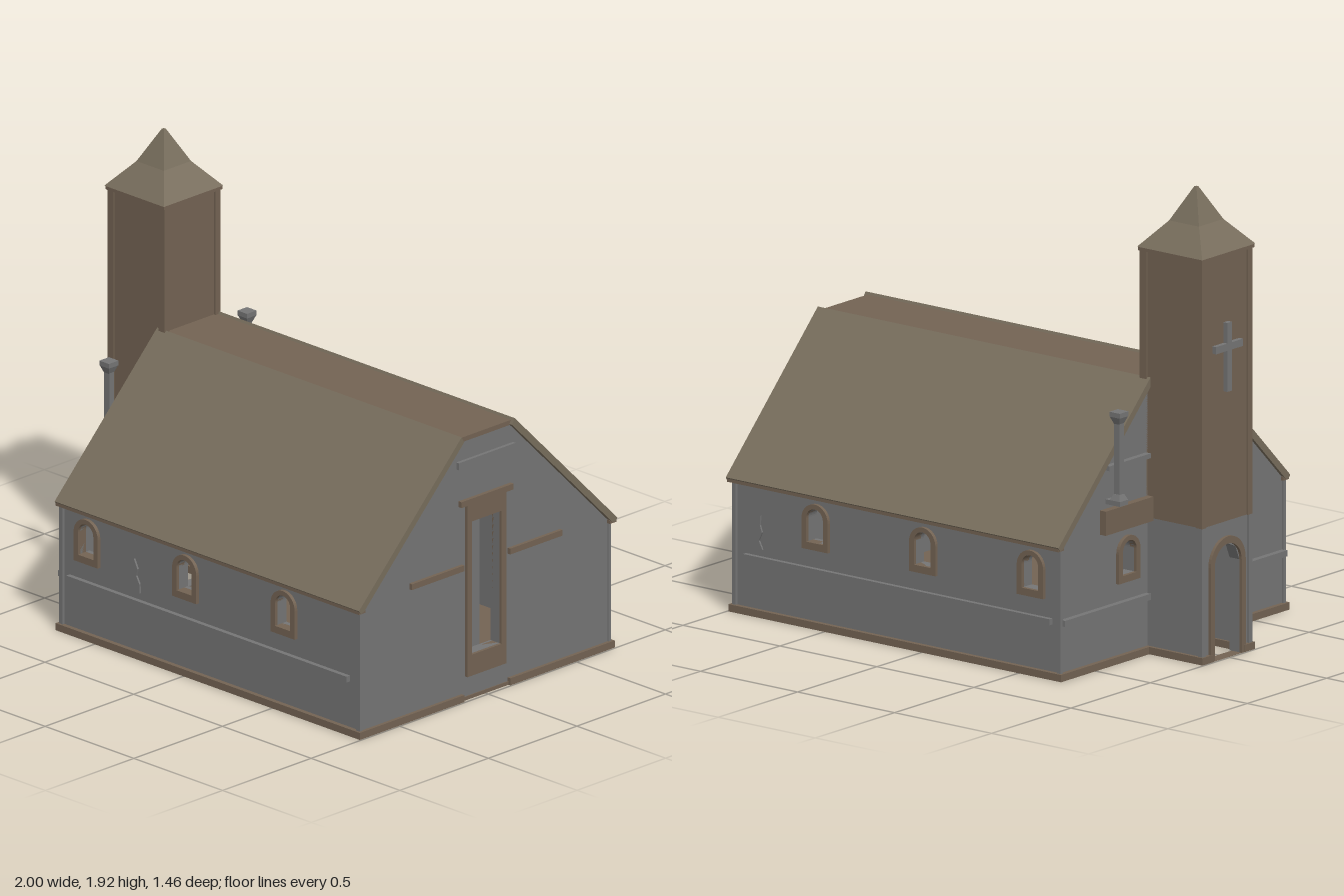
import * as THREE from 'three';

const mat = (name, color) => {
  const m = new THREE.MeshStandardMaterial({ color });
  m.name = name;
  return m;
};

export function createModel() {
  const model = new THREE.Group();
  model.name = 'chapel';
  const stone = mat('grey stone', 0x757575);
  const timber = mat('brown timber', 0x736353);
  const shingle = mat('olive brown roof', 0x776d5c);

  const add = (name, geometry, material) => {
    const mesh = new THREE.Mesh(geometry, material);
    mesh.name = name;
    model.add(mesh);
    return mesh;
  };
  // Box given by its limits on each axis
  const box = (name, m, x0, x1, y0, y1, z0, z1) => {
    const g = new THREE.BoxGeometry(x1 - x0, y1 - y0, z1 - z0);
    g.translate((x0 + x1) / 2, (y0 + y1) / 2, (z0 + z1) / 2);
    return add(name, g, m);
  };
  // Box repeated on both sides of the long axis
  const pair = (name, m, x0, x1, y0, y1, z0, z1) => {
    box(name, m, x0, x1, y0, y1, z0, z1);
    box(name, m, x0, x1, y0, y1, -z1, -z0);
  };
  const poly = (pts, Type = THREE.Shape) => new Type(pts.map(([x, y]) => new THREE.Vector2(x, y)));
  const rect = (c, hw, y0, y1, Type) => poly([[c - hw, y0], [c + hw, y0], [c + hw, y1], [c - hw, y1]], Type);
  const arch = (c, hw, y0, top, Type = THREE.Shape) => {
    const s = new Type();
    s.moveTo(c - hw, y0);
    s.lineTo(c + hw, y0);
    s.lineTo(c + hw, top - hw);
    s.absarc(c, top - hw, hw, 0, Math.PI, false);
    s.lineTo(c - hw, y0);
    return s;
  };
  // Extrusion along z, or along x when turned
  const slab = (name, m, shape, holes, from, to, alongX) => {
    shape.holes.push(...holes);
    const g = new THREE.ExtrudeGeometry(shape, { depth: to - from, bevelEnabled: false, curveSegments: 10 });
    g.translate(0, 0, from);
    if (alongX) g.rotateY(Math.PI / 2);
    return add(name, g, m);
  };
  // Four-sided tapering block
  const frustum = (name, m, x, z, y0, y1, h0, h1) => {
    const g = new THREE.CylinderGeometry(h1 * Math.SQRT2, h0 * Math.SQRT2, y1 - y0, 4).toNonIndexed();
    g.rotateY(Math.PI / 4);
    g.translate(x, (y0 + y1) / 2, z);
    g.computeVertexNormals();
    return add(name, g, m);
  };

  // Floor and base trim
  box('floor', timber, -0.71, 0.985, 0, 0.015, -0.71, 0.71);
  pair('baseTrim', timber, -0.715, 0.995, 0, 0.03, 0.69, 0.72);
  pair('eastBaseTrim', timber, 0.96, 0.995, 0, 0.03, 0.13, 0.72);
  pair('westBaseTrim', timber, -0.72, -0.69, 0, 0.03, 0.16, 0.72);

  // Long walls with arched windows, ledges and cracks
  const windowX = [-0.555, 0, 0.555];
  for (const s of [-1, 1]) {
    const z = s > 0 ? [0.65, 0.7] : [-0.7, -0.65];
    slab('sideWall', stone, rect(0.14, 0.84, 0, 0.57),
      windowX.map(x => arch(x, 0.043, 0.355, 0.495, THREE.Path)), z[0], z[1]);
    for (const x of windowX) {
      slab('windowFrame', timber, arch(x, 0.068, 0.325, 0.515),
        [arch(x, 0.043, 0.355, 0.495, THREE.Path)], s > 0 ? 0.67 : -0.715, s > 0 ? 0.715 : -0.67);
    }
    const c = s > 0 ? -0.28 : 0.85;
    slab('wallCrack', stone, poly([[-0.02, 0.28], [0.022, 0.28], [0.02, 0.32], [0.002, 0.35], [0.01, 0.38],
      [-0.01, 0.42], [-0.007, 0.38], [-0.018, 0.35], [-0.002, 0.315]].map(([x, y]) => [c + x, y])),
      [], s > 0 ? 0.7 : -0.708, s > 0 ? 0.708 : -0.7);
  }
  pair('wallLedge', stone, -0.66, 0.92, 0.225, 0.25, 0.69, 0.72);
  pair('eastCornerPost', stone, 0.965, 0.985, 0.03, 0.55, 0.695, 0.71);
  pair('westCornerPost', stone, -0.71, -0.69, 0.03, 0.55, 0.695, 0.71);

  // Gable end walls
  const gable = () => poly([[-0.7, 0], [0.7, 0], [0.7, 0.56], [0.14, 1.12], [-0.14, 1.12], [-0.7, 0.56]]);
  slab('eastGable', stone, gable(), [rect(0, 0.083, 0.19, 0.76, THREE.Path)], 0.93, 0.98, true);
  slab('westGable', stone, gable(), [rect(0, 0.1, 0.02, 0.8, THREE.Path),
    ...[-0.28, 0.28].map(z => arch(z, 0.043, 0.355, 0.495, THREE.Path))], -0.7, -0.65, true);
  for (const z of [-0.28, 0.28]) {
    slab('westWindowFrame', timber, arch(z, 0.068, 0.325, 0.515),
      [arch(z, 0.043, 0.355, 0.495, THREE.Path)], -0.715, -0.68, true);
  }

  // East gable window and trim
  slab('tallWindowFrame', timber, rect(0, 0.11, 0.1, 0.84), [rect(0, 0.083, 0.19, 0.76, THREE.Path)], 0.94, 0.993, true);
  box('tallWindowLintel', timber, 0.97, 0.997, 0.835, 0.86, -0.147, 0.147);
  box('windowMullion', stone, 0.88, 0.91, 0.015, 0.73, -0.04, 0.04);
  box('gableLedge', stone, 0.97, 0.995, 1.0, 1.03, -0.16, 0.16);
  pair('gableBeam', timber, 0.97, 0.995, 0.56, 0.585, 0.13, 0.425);

  // West gable trim and chimneys
  pair('westLedge', stone, -0.725, -0.69, 0.225, 0.25, 0.16, 0.7);
  pair('westUpperLedge', stone, -0.725, -0.69, 0.81, 0.83, 0.16, 0.42);
  pair('westBeam', timber, -0.73, -0.69, 0.55, 0.65, 0.15, 0.45);
  for (const z of [-0.39, 0.39]) {
    box('chimneyFoot', stone, -0.775, -0.695, 0.67, 0.69, z - 0.026, z + 0.026);
    frustum('chimneyFlare', stone, -0.748, z, 0.69, 0.715, 0.026, 0.015);
    box('chimneyShaft', stone, -0.763, -0.733, 0.715, 1.02, z - 0.013, z + 0.013);
    frustum('chimneyCapFlare', stone, -0.748, z, 1.005, 1.035, 0.014, 0.026);
    box('chimneyCap', stone, -0.775, -0.721, 1.035, 1.055, z - 0.027, z + 0.027);
  }

  // Roof slopes and flat ridge
  for (const s of [-1, 1]) {
    slab('roofSlope', shingle, poly([[0.73, 0.555], [0.15, 1.14], [0.135, 1.115], [0.7, 0.545], [0.72, 0.54]]
      .map(([z, y]) => [s * z, y])), [], -0.715, 1, true);
  }
  box('roofRidge', timber, -0.71, 0.985, 1.11, 1.13, -0.145, 0.145);
  pair('eaveTrim', timber, -0.712, 0.997, 0.537, 0.552, 0.69, 0.727);

  // Stone tower base with arched doorway
  slab('towerFront', stone, poly([[-0.15, 0], [-0.085, 0], [-0.085, 0.385], [-0.06, 0.445], [0, 0.47], [0.06, 0.445],
    [0.085, 0.385], [0.085, 0], [0.15, 0], [0.15, 0.56], [-0.15, 0.56]]), [], -0.98, -0.93, true);
  pair('towerSide', stone, -0.98, -0.69, 0, 0.56, 0.11, 0.15);
  pair('towerBaseTrim', timber, -0.995, -0.7, 0, 0.03, 0.1, 0.165);
  slab('doorFrame', timber, arch(0, 0.11, 0, 0.5), [arch(0, 0.085, 0.0005, 0.47, THREE.Path)], -0.993, -0.94, true);
  pair('towerBasePost', stone, -0.988, -0.965, 0.03, 0.56, 0.135, 0.158);

  // Timber tower shaft, corner posts and cross
  box('towerShaft', timber, -0.98, -0.675, 0.56, 1.67, -0.15, 0.15);
  pair('towerWestPost', timber, -0.988, -0.955, 0.56, 1.67, 0.13, 0.158);
  pair('towerEastPost', timber, -0.7, -0.665, 0.56, 1.67, 0.13, 0.158);
  box('crossUpright', stone, -1, -0.975, 1.1, 1.385, -0.014, 0.014);
  box('crossArm', stone, -1, -0.975, 1.27, 1.3, -0.085, 0.085);

  // Flared spire
  box('spireEave', timber, -0.993, -0.662, 1.66, 1.675, -0.165, 0.165);
  frustum('spireSkirt', shingle, -0.828, 0, 1.675, 1.78, 0.168, 0.077);
  frustum('spirePeak', shingle, -0.828, 0, 1.78, 1.918, 0.077, 0.006);

  return model;
}
